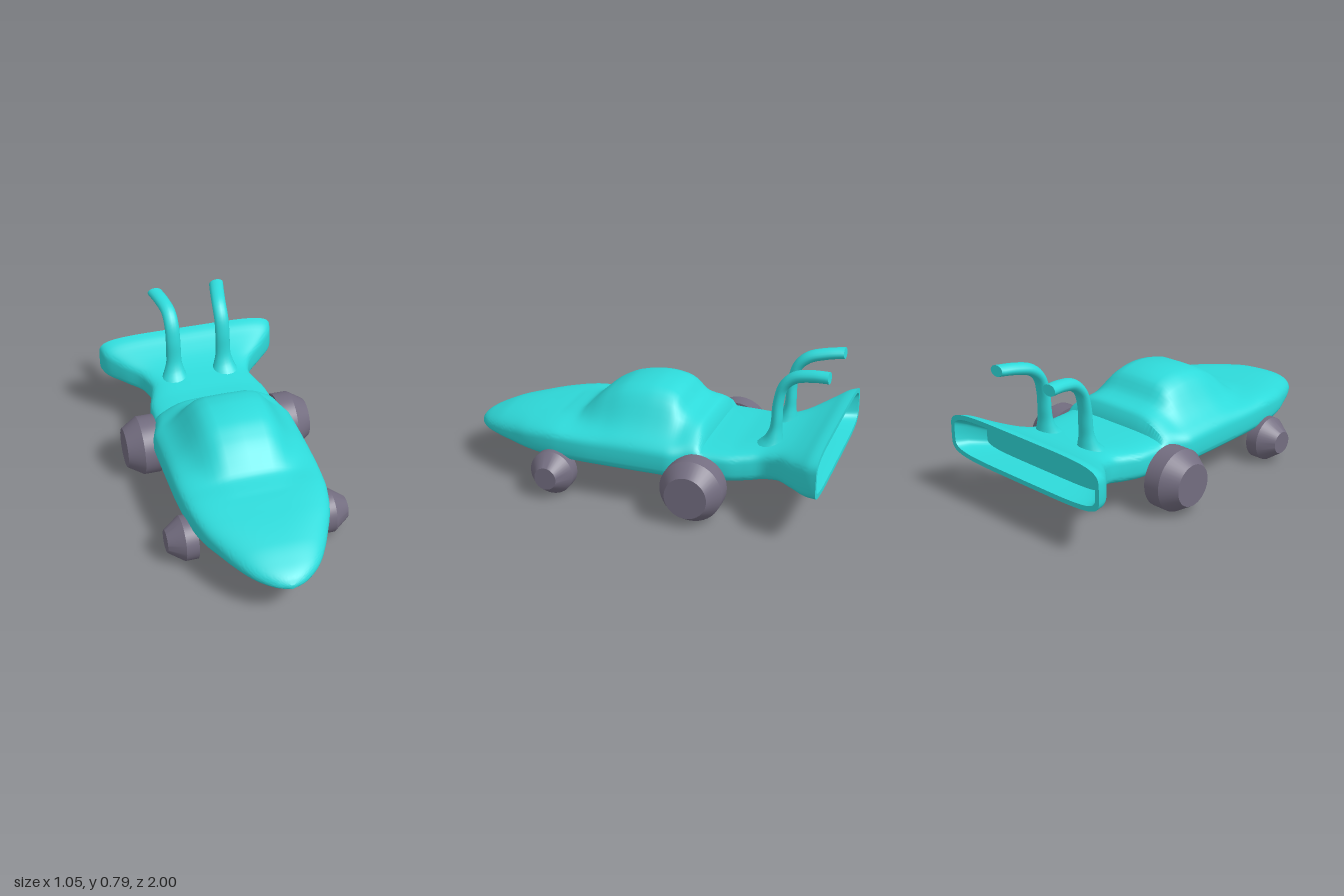
import * as THREE from 'three';
import { toCreasedNormals } from 'three/addons/utils/BufferGeometryUtils.js';

// Monotone curve through [position, value] keys
function profile(keys) {
  const k = [...keys].sort((a, b) => a[0] - b[0]);
  const d = k.slice(1).map((p, i) => (p[1] - k[i][1]) / (p[0] - k[i][0]));
  const m = k.map((p, i) => {
    if (i === 0) return d[0];
    if (i === k.length - 1) return d[i - 1];
    return d[i - 1] * d[i] <= 0 ? 0 : 2 * d[i - 1] * d[i] / (d[i - 1] + d[i]);
  });
  return (x) => {
    if (x <= k[0][0]) return k[0][1];
    if (x >= k[k.length - 1][0]) return k[k.length - 1][1];
    let i = 0;
    while (x > k[i + 1][0]) i++;
    const h = k[i + 1][0] - k[i][0], t = (x - k[i][0]) / h;
    return k[i][1] * (1 + 2 * t) * (1 - t) ** 2 + m[i] * h * t * (1 - t) ** 2
      + k[i + 1][1] * t * t * (3 - 2 * t) + m[i + 1] * h * t * t * (t - 1);
  };
}

// Skin over a list of closed rings
function loft(rings, crease = 0.7) {
  const n = rings[0].length, index = [];
  for (let j = 0; j < rings.length - 1; j++) {
    for (let i = 0; i < n; i++) {
      const a = j * n + i, b = j * n + (i + 1) % n;
      index.push(a, a + n, b, b, a + n, b + n);
    }
  }
  const g = new THREE.BufferGeometry();
  g.setAttribute('position', new THREE.Float32BufferAttribute(rings.flat(2), 3));
  g.setIndex(index);
  return toCreasedNormals(g, crease);
}

// Body outline along z: half width, underside, widest height, deck, squareness
const width = profile([[1, 0.01], [0.99, 0.05], [0.97, 0.09], [0.9, 0.17], [0.8, 0.235], [0.7, 0.285],
  [0.6, 0.33], [0.5, 0.358], [0.4, 0.375], [0.2, 0.387], [-0.2, 0.39], [-0.3, 0.36], [-0.4, 0.345],
  [-0.5, 0.338], [-0.6, 0.31], [-0.67, 0.293], [-0.75, 0.32], [-0.85, 0.42], [-0.95, 0.508], [-1, 0.522]]);
const under = profile([[1, 0.187], [0.97, 0.176], [0.9, 0.168], [0.7, 0.162], [0, 0.16], [-0.5, 0.164],
  [-0.6, 0.173], [-0.7, 0.193], [-0.8, 0.22], [-0.9, 0.233], [-1, 0.233]]);
const middle = profile([[1, 0.197], [0.9, 0.215], [0.8, 0.225], [0.6, 0.245], [0.4, 0.26], [-0.6, 0.265],
  [-0.8, 0.31], [-1, 0.355]]);
const deck = profile([[1, 0.207], [0.97, 0.24], [0.9, 0.276], [0.8, 0.312], [0.6, 0.345], [0.4, 0.362],
  [0, 0.358], [-0.4, 0.349], [-0.5, 0.35], [-0.6, 0.36], [-0.7, 0.375], [-0.8, 0.4], [-0.9, 0.44],
  [-0.96, 0.47], [-1, 0.48]]);
const square = profile([[1, 2.2], [0.8, 2.5], [0.4, 4], [-0.5, 4], [-1, 5]]);
// Canopy height above the deck, and its half width
const canopy = profile([[0.47, 0], [0.36, 0.02], [0.3, 0.068], [0.25, 0.114], [0.2, 0.15], [0.1, 0.197],
  [0, 0.215], [-0.05, 0.218], [-0.12, 0.211], [-0.18, 0.19], [-0.21, 0.157], [-0.24, 0.12],
  [-0.28, 0.1], [-0.33, 0.085], [-0.355, 0.06], [-0.367, 0]]);
const canopyWidth = profile([[0.47, 0.14], [0.35, 0.18], [0.2, 0.222], [0.05, 0.245], [-0.18, 0.25], [-0.3, 0.29]]);

const signedPow = (v, p) => Math.sign(v) * Math.abs(v) ** p;

function bodyRing(z, inset = 0, atZ = z) {
  const ring = [], p = 2 / square(z), w = width(z) - inset;
  const lo = under(z) + inset, mid = middle(z), hi = deck(z) - inset;
  for (let i = 0; i < 72; i++) {
    const a = i / 72 * Math.PI * 2;
    const x = w * signedPow(Math.cos(a), p), s = signedPow(Math.sin(a), p);
    let y = mid + s * (s > 0 ? hi - mid : mid - lo);
    if (s > 0) y += canopy(z) * Math.min(1, s * 1.3) / (1 + (Math.abs(x) / canopyWidth(z)) ** 6);
    ring.push([x, y, atZ]);
  }
  return ring;
}

const flatRing = (n, x, y, z) => Array.from({ length: n }, () => [x, y, z]);

function bodyGeometry() {
  const rings = [flatRing(72, 0, 0.197, 1)];
  for (let j = 0; j <= 130; j++) rings.push(bodyRing(1 - 2 * (j / 130) ** 1.3));
  // Hollow in the flared tail
  rings.push(bodyRing(-1, 0.025));
  rings.push(bodyRing(-0.94, 0.03));
  rings.push(bodyRing(-0.87, 0.035));
  rings.push(flatRing(72, 0, 0.325, -0.87));
  return loft(rings);
}

// Upright pipe with a flared foot, bending backwards
function pipeGeometry(side) {
  const path = new THREE.CatmullRomCurve3([[0.15, 0.33, -0.685], [0.147, 0.4, -0.7], [0.145, 0.48, -0.708],
    [0.145, 0.58, -0.712], [0.145, 0.67, -0.735], [0.148, 0.725, -0.79], [0.163, 0.75, -0.88],
    [0.182, 0.76, -0.97]].map(([x, y, z]) => new THREE.Vector3(x * side, y, z)));
  const across = profile([[0, 0.09], [0.1, 0.06], [0.22, 0.044], [0.7, 0.041], [1, 0.042]]);
  const along = profile([[0, 0.085], [0.1, 0.046], [0.22, 0.029], [0.5, 0.026], [0.7, 0.03], [1, 0.028]]);
  const rings = [], X = new THREE.Vector3(1, 0, 0);
  for (let j = 0; j <= 32; j++) {
    const t = j / 32, c = path.getPointAt(t);
    const N = X.clone().cross(path.getTangentAt(t)).normalize();
    rings.push(Array.from({ length: 16 }, (_, i) => {
      const a = i / 16 * Math.PI * 2;
      return c.clone().addScaledVector(X, across(t) * Math.cos(a))
        .addScaledVector(N, along(t) * Math.sin(a)).toArray();
    }));
  }
  const end = path.getPointAt(1);
  rings.push(flatRing(16, end.x, end.y, end.z));
  return loft(rings);
}

// Wheel: straight tread and tapered outer side, axis along x
function wheelGeometry(r, hubR, inner, shoulder, outer) {
  const points = [[0, inner], [r, inner], [r, shoulder], [hubR, outer], [0, outer]]
    .map(([x, y]) => new THREE.Vector2(x, y));
  return toCreasedNormals(new THREE.LatheGeometry(points, 40), 0.4);
}

export function createModel() {
  const model = new THREE.Group();
  const teal = new THREE.MeshStandardMaterial({ color: 0x2edada });
  teal.name = 'teal paint';
  const grey = new THREE.MeshStandardMaterial({ color: 0x736d80 });
  grey.name = 'grey rubber';

  const add = (name, geometry, material) => {
    const mesh = new THREE.Mesh(geometry, material);
    mesh.name = name;
    model.add(mesh);
    return mesh;
  };

  add('body', bodyGeometry(), teal);

  for (const [label, side] of [['left', 1], ['right', -1]]) {
    add(label + 'Pipe', pipeGeometry(side), teal);
    const front = add(label + 'FrontWheel', wheelGeometry(0.118, 0.06, 0.335, 0.402, 0.485), grey);
    front.position.set(0, 0.12, 0.42);
    const rear = add(label + 'RearWheel', wheelGeometry(0.163, 0.11, 0.348, 0.44, 0.525), grey);
    rear.position.set(0, 0.164, -0.355);
    for (const wheel of [front, rear]) wheel.rotation.z = -side * Math.PI / 2;
  }
  return model;
}
